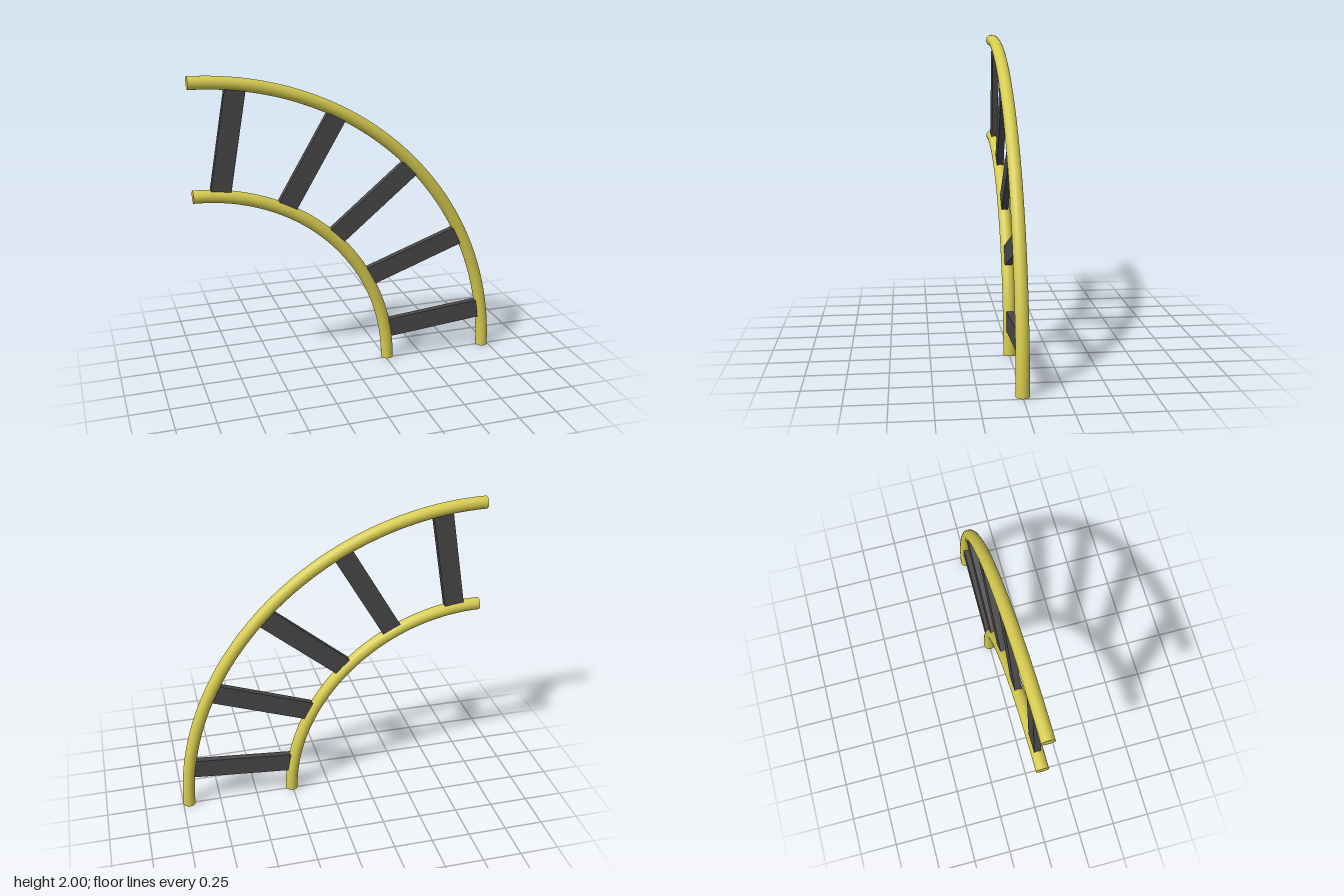
import * as THREE from 'three';

const TUBE = 0.04;

export function createModel() {
  const group = new THREE.Group();
  group.name = 'curvedLadder';
  const yellow = new THREE.MeshStandardMaterial({ name: 'yellow', color: 0xd6cb50 });
  const grey = new THREE.MeshStandardMaterial({ name: 'darkGrey', color: 0x484848 });

  // Quarter-circle tubular rail with closed ends, centred on x = -1
  function rail(name, radius, y) {
    const part = new THREE.Group();
    part.name = name;
    part.position.set(-1, y, 0);
    const tube = new THREE.Mesh(new THREE.TorusGeometry(radius, TUBE, 24, 72, Math.PI / 2), yellow);
    tube.name = name + 'Tube';
    const capGeometry = new THREE.CircleGeometry(TUBE, 24);
    const lowerCap = new THREE.Mesh(capGeometry, yellow);
    lowerCap.name = name + 'LowerCap';
    lowerCap.position.x = radius;
    lowerCap.rotation.x = Math.PI / 2;
    const upperCap = new THREE.Mesh(capGeometry, yellow);
    upperCap.name = name + 'UpperCap';
    upperCap.position.y = radius;
    upperCap.rotation.y = -Math.PI / 2;
    part.add(tube, lowerCap, upperCap);
    group.add(part);
  }
  rail('outerRail', 1.96, 0);
  rail('innerRail', 1.257, 0.01);

  // Flat rungs: inner end x, y and outer end x, y, sunk into both rails
  const rungs = [
    [-0.83, 1.287, -0.722, 1.9],
    [-0.41, 1.167, -0.09, 1.712],
    [-0.083, 0.935, 0.398, 1.335],
    [0.145, 0.624, 0.735, 0.836],
    [0.283, 0.229, 0.903, 0.283],
  ];
  rungs.forEach(([x0, y0, x1, y1], i) => {
    const length = Math.hypot(x1 - x0, y1 - y0) + 0.06;
    const rung = new THREE.Mesh(new THREE.BoxGeometry(length, 0.126, 0.042), grey);
    rung.name = 'rung' + (i + 1);
    rung.position.set((x0 + x1) / 2, (y0 + y1) / 2, 0);
    rung.rotation.z = Math.atan2(y1 - y0, x1 - x0);
    group.add(rung);
  });
  return group;
}
